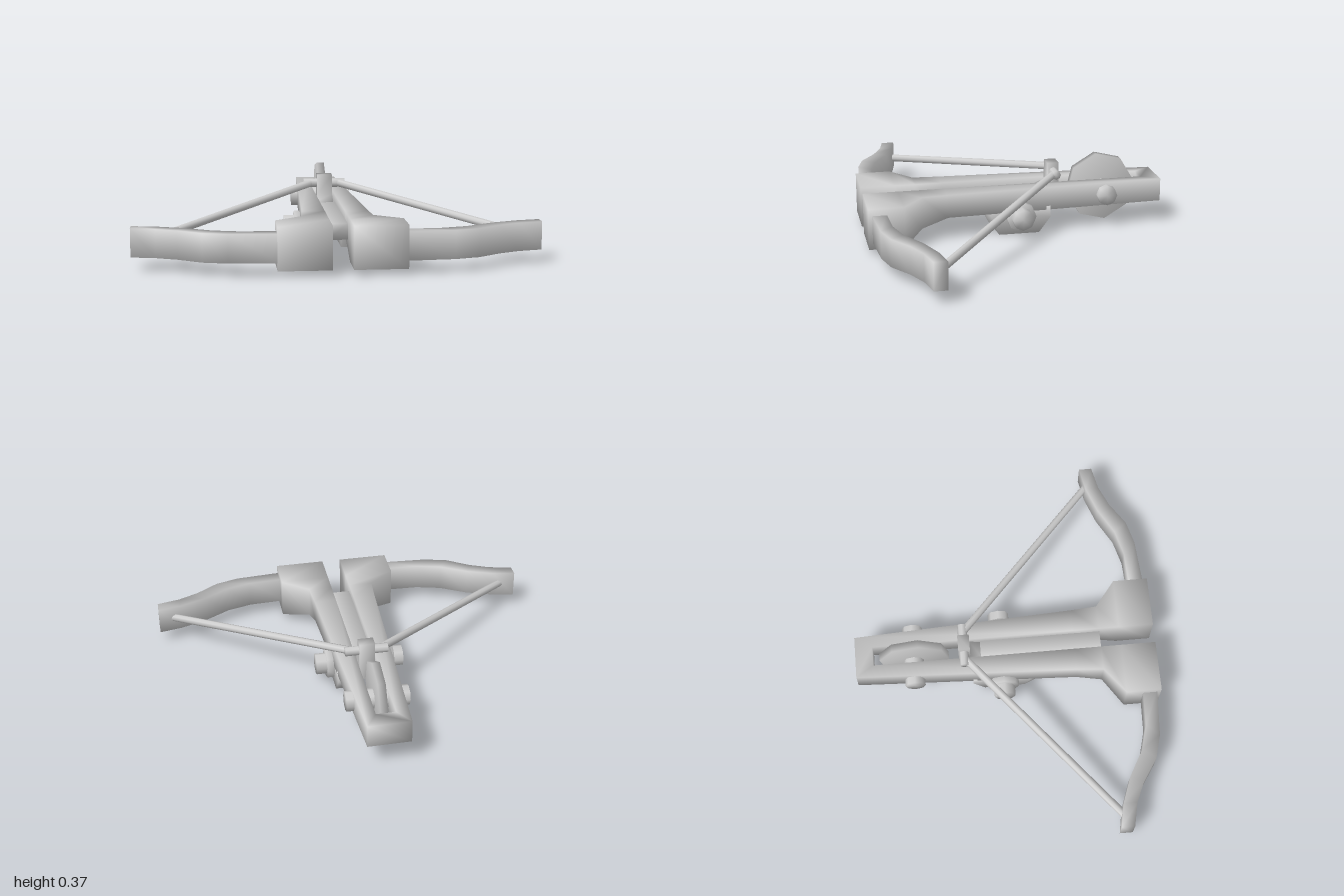
import * as THREE from 'three';
import { mergeVertices } from 'three/addons/utils/BufferGeometryUtils.js';

const material = new THREE.MeshStandardMaterial({ color: 0xcccccc });

// Weld corners so that shading runs softly over the edges
function soften(geo) {
  geo.deleteAttribute('uv');
  geo.deleteAttribute('normal');
  const welded = mergeVertices(geo, 1e-4);
  welded.computeVertexNormals();
  return welded;
}

function add(parent, name, geo) {
  const mesh = new THREE.Mesh(soften(geo), material);
  mesh.name = name;
  parent.add(mesh);
  return mesh;
}

// Solid through sections [ax, az, bx, bz, low, high]; a lies right of the travel direction
function loft(sections) {
  const pos = [], idx = [];
  sections.forEach(([ax, az, bx, bz, lo, hi], s) => {
    pos.push(ax, lo, az, bx, lo, bz, bx, hi, bz, ax, hi, az);
    if (s === sections.length - 1) return;
    for (let i = 0; i < 4; i++) {
      const p = s * 4 + i, q = s * 4 + (i + 1) % 4;
      idx.push(p, q, q + 4, p, q + 4, p + 4);
    }
  });
  const e = (sections.length - 1) * 4;
  idx.push(0, 2, 1, 0, 3, 2, e, e + 1, e + 2, e, e + 2, e + 3);
  const geo = new THREE.BufferGeometry();
  geo.setAttribute('position', new THREE.Float32BufferAttribute(pos, 3));
  geo.setIndex(idx);
  return geo;
}

const mirrored = (sections) =>
  sections.map(([ax, az, bx, bz, lo, hi]) => [-ax, az, -bx, bz, lo, hi]).reverse();

// Plate with a (z, y) outline, centred on the given x
function plate(points, width, x = 0) {
  const shape = new THREE.Shape(points.map(([z, y]) => new THREE.Vector2(z, y)));
  const geo = new THREE.ExtrudeGeometry(shape, { depth: width, bevelEnabled: false });
  return geo.rotateY(-Math.PI / 2).translate(x + width / 2, 0, 0);
}

// Octagonal rod along x
function crossRod(radius, length, x, y, z) {
  return new THREE.CylinderGeometry(radius, radius, length, 8)
    .rotateZ(Math.PI / 2).translate(x, y, z);
}

// Rod between two points
function rodBetween(a, b, radius) {
  const dir = new THREE.Vector3().subVectors(b, a);
  const geo = new THREE.CylinderGeometry(radius, radius, dir.length(), 8);
  const turn = new THREE.Quaternion().setFromUnitVectors(
    new THREE.Vector3(0, 1, 0), dir.clone().normalize());
  geo.applyQuaternion(turn);
  const mid = a.clone().add(b).multiplyScalar(0.5);
  return geo.translate(mid.x, mid.y, mid.z);
}

export function createModel() {
  const model = new THREE.Group();
  model.name = 'crossbow';

  // U-shaped stock: front block, rail, rear bend, and back again
  const rail = [
    [0.31, 0.78, 0.05, 0.78, 0.03, 0.24],
    [0.31, 0.60, 0.05, 0.60, 0.03, 0.24],
    [0.175, 0.495, 0.05, 0.495, 0.075, 0.24],
    [0.165, 0.36, 0.05, 0.36, 0.12, 0.24],
    [0.11, -0.78, 0.05, -0.69, 0.12, 0.24],
  ];
  add(model, 'stock', loft([...rail, ...mirrored(rail)]));

  // Curved bow limbs: front edge, back edge
  const limb = [
    [0.29, 0.762, 0.29, 0.688],
    [0.54, 0.745, 0.48, 0.680],
    [0.66, 0.712, 0.61, 0.645],
    [0.775, 0.635, 0.745, 0.568],
    [0.88, 0.588, 0.88, 0.518],
    [1.0, 0.562, 1.0, 0.495],
  ].map((s) => [...s, 0.065, 0.205]);
  add(model, 'leftLimb', loft(limb));
  add(model, 'rightLimb', loft(mirrored(limb)));

  // Bolt channel between the rails
  add(model, 'boltChannel', new THREE.BoxGeometry(0.1, 0.08, 0.7).translate(0, 0.16, 0.15));

  // Catch that holds the string
  add(model, 'stringCatch', plate([
    [-0.245, 0.13], [-0.13, 0.13], [-0.13, 0.21], [-0.185, 0.235],
    [-0.185, 0.34], [-0.245, 0.34],
  ], 0.08));
  add(model, 'catchPin', crossRod(0.024, 0.22, 0, 0.293, -0.217));

  // Rear wheel and its axle
  const wheel = new THREE.CylinderGeometry(0.182, 0.182, 0.04, 8)
    .rotateZ(Math.PI / 2).rotateX(0.15).translate(0, 0.19, -0.477);
  add(model, 'rearWheel', wheel);
  add(model, 'rearAxle', crossRod(0.052, 0.32, 0, 0.18, -0.48));

  // Lower axle through the cheek plates
  add(model, 'lowerAxle', crossRod(0.055, 0.46, 0, 0.1, -0.02));

  for (const side of [1, -1]) {
    const label = side > 0 ? 'left' : 'right';
    add(model, label + 'CheekPlate', plate([
      [0.09, 0], [0.15, 0.08], [0.15, 0.14], [-0.18, 0.14], [-0.18, 0.08], [-0.12, 0],
    ], 0.08, side * 0.1));
    add(model, label + 'AxleCollar', crossRod(0.078, 0.06, side * 0.147, 0.1, -0.02));
    add(model, label + 'String', rodBetween(
      new THREE.Vector3(side * 0.07, 0.293, -0.217),
      new THREE.Vector3(side * 0.925, 0.135, 0.525), 0.02));
  }
  return model;
}
